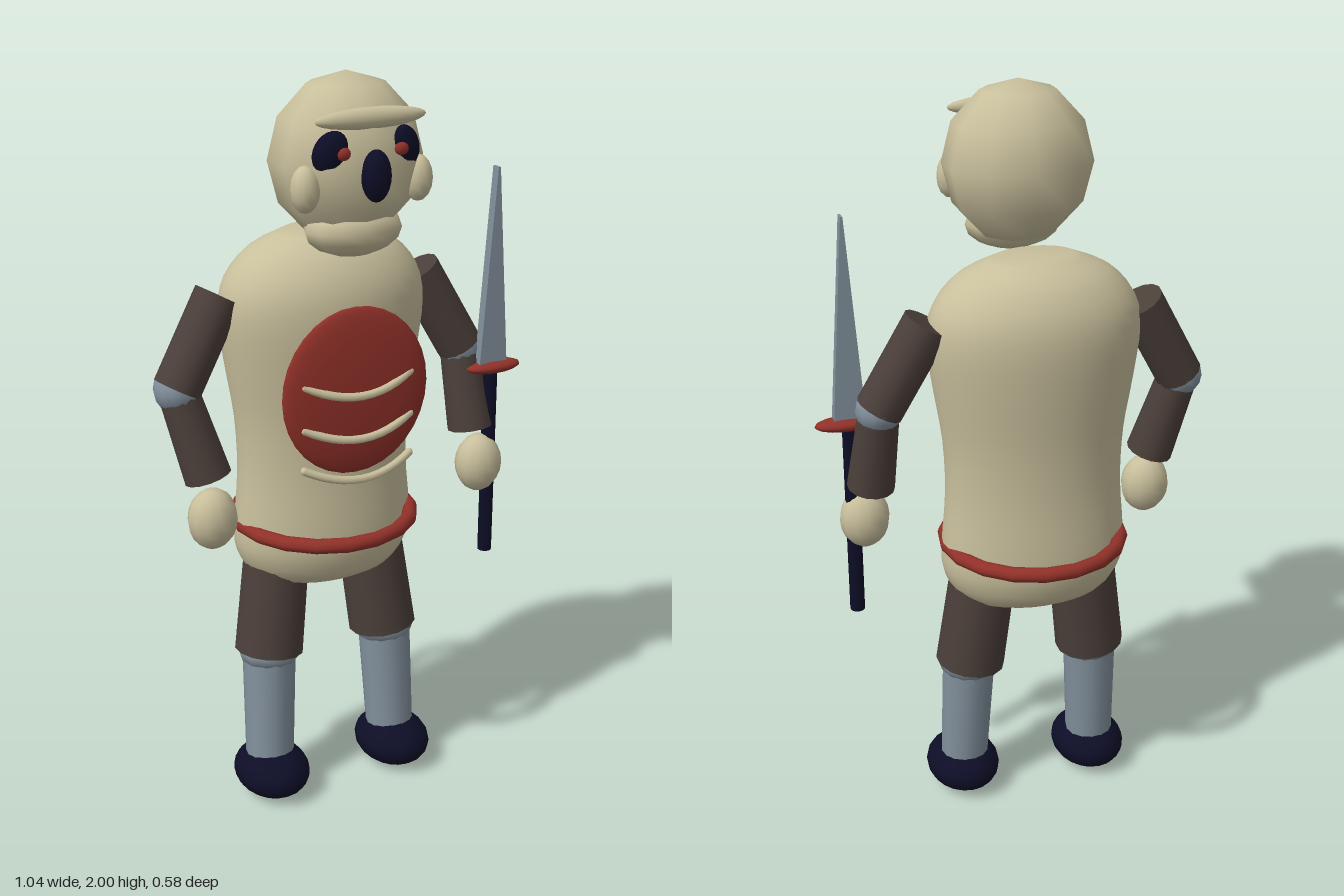
import * as THREE from 'three';

const mat = (name, color) => {
  const m = new THREE.MeshStandardMaterial({ color });
  m.name = name;
  return m;
};

export function createModel() {
  const bone = mat('bone', 0xc8bf9c);
  const red = mat('red', 0x913129);
  const leather = mat('leather', 0x4b3f3a);
  const steel = mat('steel', 0x82909c);
  const navy = mat('navy', 0x0d0d26);

  const model = new THREE.Group();
  model.name = 'warrior';
  const CX = -0.05; // the body's centre line

  const add = (name, geometry, material, parent = model) => {
    const mesh = new THREE.Mesh(geometry, material);
    mesh.name = name;
    parent.add(mesh);
    return mesh;
  };
  const ellipsoid = (name, material, pos, radii, parent = model, w = 16, h = 12) => {
    const mesh = add(name, new THREE.SphereGeometry(1, w, h), material, parent);
    mesh.position.set(...pos);
    mesh.scale.set(...radii);
    return mesh;
  };
  // Cylinder running from point a to point b
  const limb = (name, material, a, b, ra, rb, parent = model) => {
    const start = new THREE.Vector3(...a), end = new THREE.Vector3(...b);
    const dir = end.clone().sub(start);
    const mesh = add(name, new THREE.CylinderGeometry(rb, ra, dir.length(), 14), material, parent);
    mesh.position.copy(start).add(end).multiplyScalar(0.5);
    mesh.quaternion.setFromUnitVectors(new THREE.Vector3(0, 1, 0), dir.normalize());
    return mesh;
  };

  // Torso: a turned profile, flattened front to back
  const profile = new THREE.SplineCurve([
    [0.1, 0.622], [0.2, 0.65], [0.247, 0.72], [0.252, 0.8], [0.24, 0.95], [0.245, 1.1],
    [0.268, 1.25], [0.283, 1.38], [0.265, 1.47], [0.2, 1.545], [0.1, 1.59],
  ].map(p => new THREE.Vector2(...p))).getPoints(30);
  const torso = add('torso', new THREE.LatheGeometry(
    [new THREE.Vector2(0, 0.62), ...profile, new THREE.Vector2(0, 1.592)], 32), bone);
  torso.position.set(CX, 0, -0.04);
  torso.scale.z = 0.65;

  // Belt hoop
  const belt = add('belt', new THREE.TorusGeometry(0.237, 0.02, 10, 18), red);
  belt.rotation.x = Math.PI / 2;
  belt.position.set(CX, 0.8, -0.035);

  // Chest plate with three curved ribs
  ellipsoid('chestPlate', red, [CX, 1.205, 0.157], [0.205, 0.222, 0.03], model, 24, 16);
  for (const y of [1.24, 1.125, 1.015]) {
    const ends = [-1, 1].map(s => new THREE.Vector3(CX + s * 0.15, y, 0.168));
    const curve = new THREE.QuadraticBezierCurve3(
      ends[0], new THREE.Vector3(CX, y - 0.075, 0.222), ends[1]);
    add('chestRib', new THREE.TubeGeometry(curve, 12, 0.011, 8), bone);
    for (const e of ends) ellipsoid('chestRibEnd', bone, e.toArray(), [0.011, 0.011, 0.011], model, 8, 6);
  }

  // Head
  const head = new THREE.Group();
  head.name = 'head';
  head.position.x = CX;
  model.add(head);
  const skull = ellipsoid('skull', bone, [0, 1.79, 0.1], [0.165, 0.21, 0.197], head, 10, 6);
  skull.rotation.y = Math.PI / 2;
  ellipsoid('jaw', bone, [0, 1.625, 0.14], [0.13, 0.07, 0.09], head, 12, 8);
  ellipsoid('brow', bone, [0, 1.907, 0.233], [0.147, 0.026, 0.022], head);
  ellipsoid('nose', navy, [0, 1.775, 0.262], [0.037, 0.063, 0.034], head);
  for (const s of [-1, 1]) {
    ellipsoid('ear', bone, [s * 0.152, 1.743, 0.19], [0.037, 0.058, 0.035], head, 12, 8);
    const eye = ellipsoid('eye', navy, [s * 0.1, 1.832, 0.218], [0.04, 0.053, 0.027], head);
    eye.rotation.set(0, s * 0.35, s * 0.5);
    ellipsoid('pupil', red, [s * 0.077, 1.83, 0.243], [0.019, 0.016, 0.012], head, 10, 8);
  }

  // Arms: the left forearm hangs straighter to hold the spear
  const arms = [
    { side: -1, wrist: [-0.4, 0.98, 0.01], hand: [-0.4, 0.872, 0.033] },
    { side: 1, wrist: [0.38, 0.985, 0.01], hand: [0.395, 0.885, 0.033] },
  ];
  for (const { side, wrist, hand } of arms) {
    const arm = new THREE.Group();
    arm.name = side < 0 ? 'rightArm' : 'leftArm';
    model.add(arm);
    const elbow = [CX + side * 0.41, 1.215, -0.03];
    limb('upperArm', leather, [CX + side * 0.283, 1.44, -0.048], elbow, 0.063, 0.063, arm);
    ellipsoid('elbow', steel, elbow, [0.062, 0.062, 0.062], arm, 12, 8);
    limb('forearm', leather, elbow, wrist, 0.053, 0.063, arm);
    ellipsoid('hand', bone, hand, [0.067, 0.083, 0.058], arm, 12, 10);
  }

  // Legs
  for (const s of [-1, 1]) {
    const leg = new THREE.Group();
    leg.name = s < 0 ? 'rightLeg' : 'leftLeg';
    model.add(leg);
    const knee = [CX + s * 0.175, 0.427, -0.02];
    limb('thigh', leather, [CX + s * 0.137, 0.73, -0.038], knee, 0.09, 0.095, leg);
    ellipsoid('knee', steel, [knee[0], 0.43, -0.017], [0.088, 0.06, 0.085], leg, 12, 8);
    limb('shin', steel, [CX + s * 0.178, 0.42, -0.014], [CX + s * 0.19, 0.08, 0.006], 0.073, 0.066, leg);
    ellipsoid('foot', navy, [CX + s * 0.19, 0.07, 0.018], [0.102, 0.069, 0.125], leg, 20, 12);
  }

  // Spear
  const spear = new THREE.Group();
  spear.name = 'spear';
  spear.position.set(0.425, 0, 0.033);
  model.add(spear);
  const shaft = add('shaft', new THREE.CylinderGeometry(0.02, 0.02, 0.55, 10), navy, spear);
  shaft.position.y = 0.888;
  ellipsoid('guard', red, [0.008, 1.16, 0], [0.083, 0.019, 0.034], spear);
  const outline = new THREE.Shape([[-0.043, 1.16], [0.043, 1.16], [0.003, 1.71], [-0.003, 1.71]]
    .map(p => new THREE.Vector2(...p)));
  const blade = add('blade', new THREE.ExtrudeGeometry(outline, { depth: 0.028, bevelEnabled: false }), steel, spear);
  blade.position.z = -0.014;

  return model;
}
